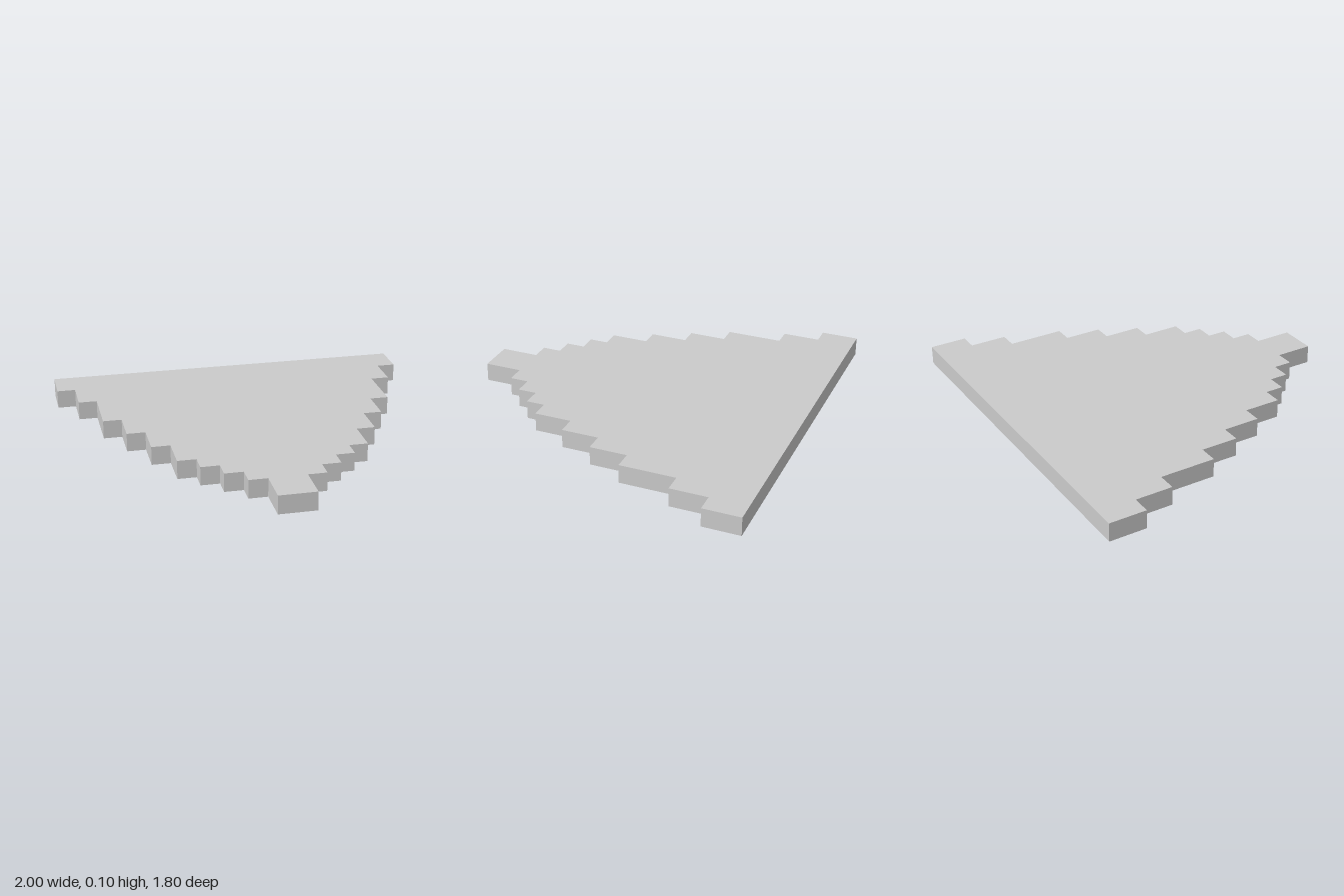
import * as THREE from 'three';

const THICKNESS = 0.1;
const BACK_Z = -0.9;

// Stepped half outline from back to front: [half width, z where the step ends]
const STEPS = [
  [1.0, -0.7], [0.9, -0.5], [0.8, -0.2], [0.7, 0.0], [0.6, 0.2],
  [0.5, 0.4], [0.4, 0.5], [0.3, 0.6], [0.2, 0.7], [0.1, 0.9],
];

export function createModel() {
  const group = new THREE.Group();
  group.name = 'steppedSlab';

  // Right-hand corners going forward, then the mirrored side going back
  const half = [];
  let z = BACK_Z;
  for (const [w, end] of STEPS) {
    half.push([w, z], [w, end]);
    z = end;
  }
  const mirrored = half.map(([x, pz]) => [-x, pz]).reverse();
  const outline = [...half, ...mirrored].map(([x, pz]) => new THREE.Vector2(x, -pz));

  // Extrude the outline and lay it flat on the ground
  const geometry = new THREE.ExtrudeGeometry(new THREE.Shape(outline), {
    depth: THICKNESS,
    bevelEnabled: false,
  });
  geometry.rotateX(-Math.PI / 2);

  const slab = new THREE.Mesh(
    geometry,
    new THREE.MeshStandardMaterial({ color: 0xcccccc, flatShading: true })
  );
  slab.name = 'slab';
  group.add(slab);
  return group;
}
